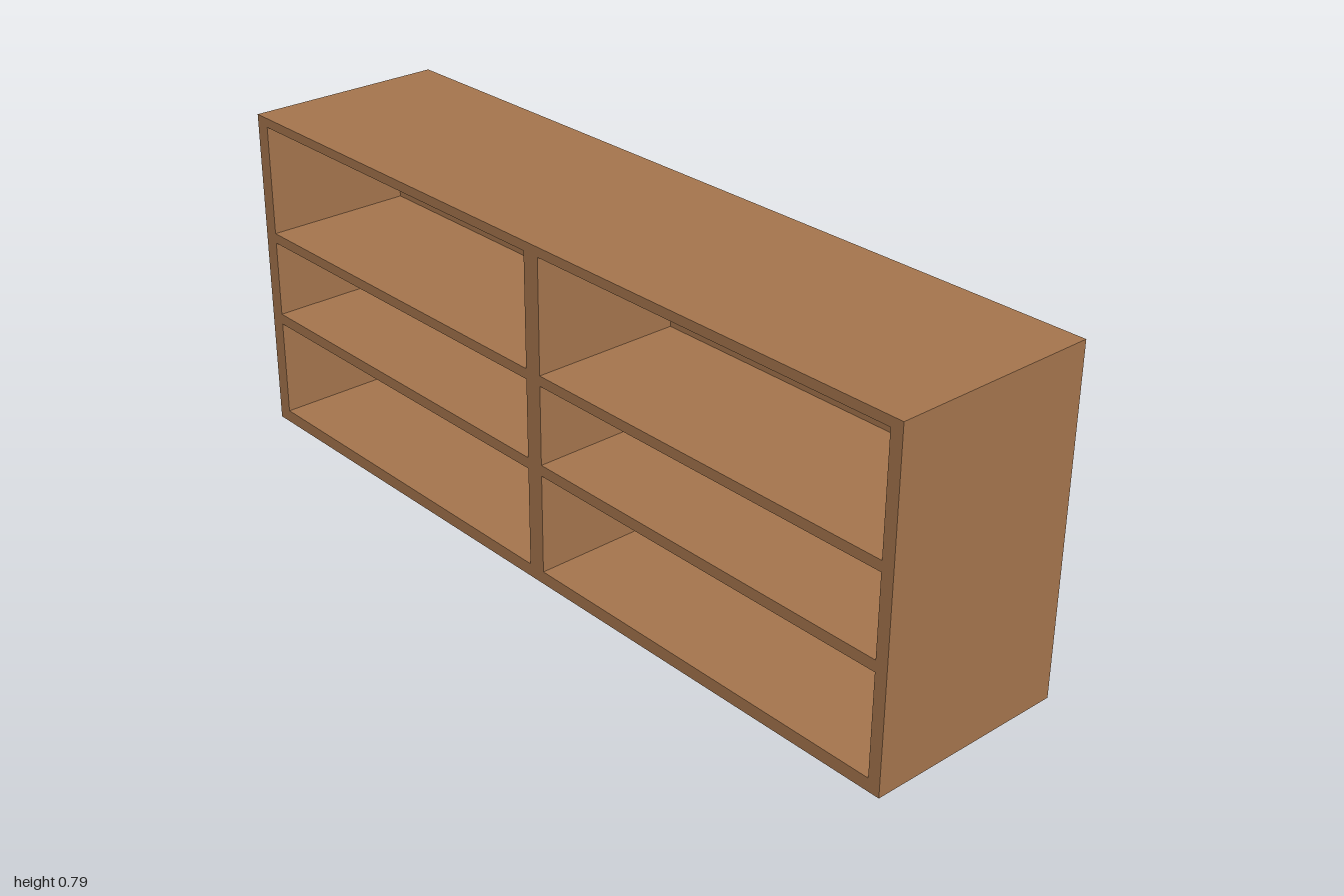
import * as THREE from 'three';

const W = 2, H = 0.786, D = 0.486;   // outer size
const NICHE_DEPTH = 0.36;
const COLUMNS = [[-0.963, -0.022], [0.022, 0.971]];              // x ranges of the openings
const ROWS = [[0.03, 0.265], [0.291, 0.476], [0.5, 0.764]];      // y ranges of the openings

// Box without its +z face; inward turns the faces to the inside
function openBox(w, h, d, inward = false) {
  const g = new THREE.BoxGeometry(w, h, d);
  const index = Array.from(g.index.array).filter((_, i) => i < 24 || i >= 30);
  g.setIndex(inward ? index.reverse() : index);
  g.clearGroups();
  if (inward) {
    const n = g.attributes.normal;
    for (let i = 0; i < n.array.length; i++) n.array[i] *= -1;
  }
  return g;
}

function rectangle(Type, x0, y0, x1, y1) {
  return new Type([[x0, y0], [x1, y0], [x1, y1], [x0, y1]].map(([x, y]) => new THREE.Vector2(x, y)));
}

export function createModel() {
  const model = new THREE.Group();
  model.name = 'shelfUnit';
  const wood = new THREE.MeshStandardMaterial({ color: 0xa6764e });
  wood.name = 'wood';

  function add(name, geometry, x, y, z) {
    const mesh = new THREE.Mesh(geometry, wood);
    mesh.name = name;
    mesh.position.set(x, y, z);
    model.add(mesh);
  }

  // Outer carcass: sides, top, bottom and back
  add('carcass', openBox(W, H, D), 0, H / 2, 0);

  // Front frame with one opening per compartment, and the compartments behind it
  const front = rectangle(THREE.Shape, -W / 2, 0, W / 2, H);
  for (const [x0, x1] of COLUMNS) {
    for (const [y0, y1] of ROWS) {
      front.holes.push(rectangle(THREE.Path, x0, y0, x1, y1));
      add('compartment', openBox(x1 - x0, y1 - y0, NICHE_DEPTH, true),
        (x0 + x1) / 2, (y0 + y1) / 2, D / 2 - NICHE_DEPTH / 2);
    }
  }
  add('frontFrame', new THREE.ShapeGeometry(front), 0, 0, D / 2);

  return model;
}
